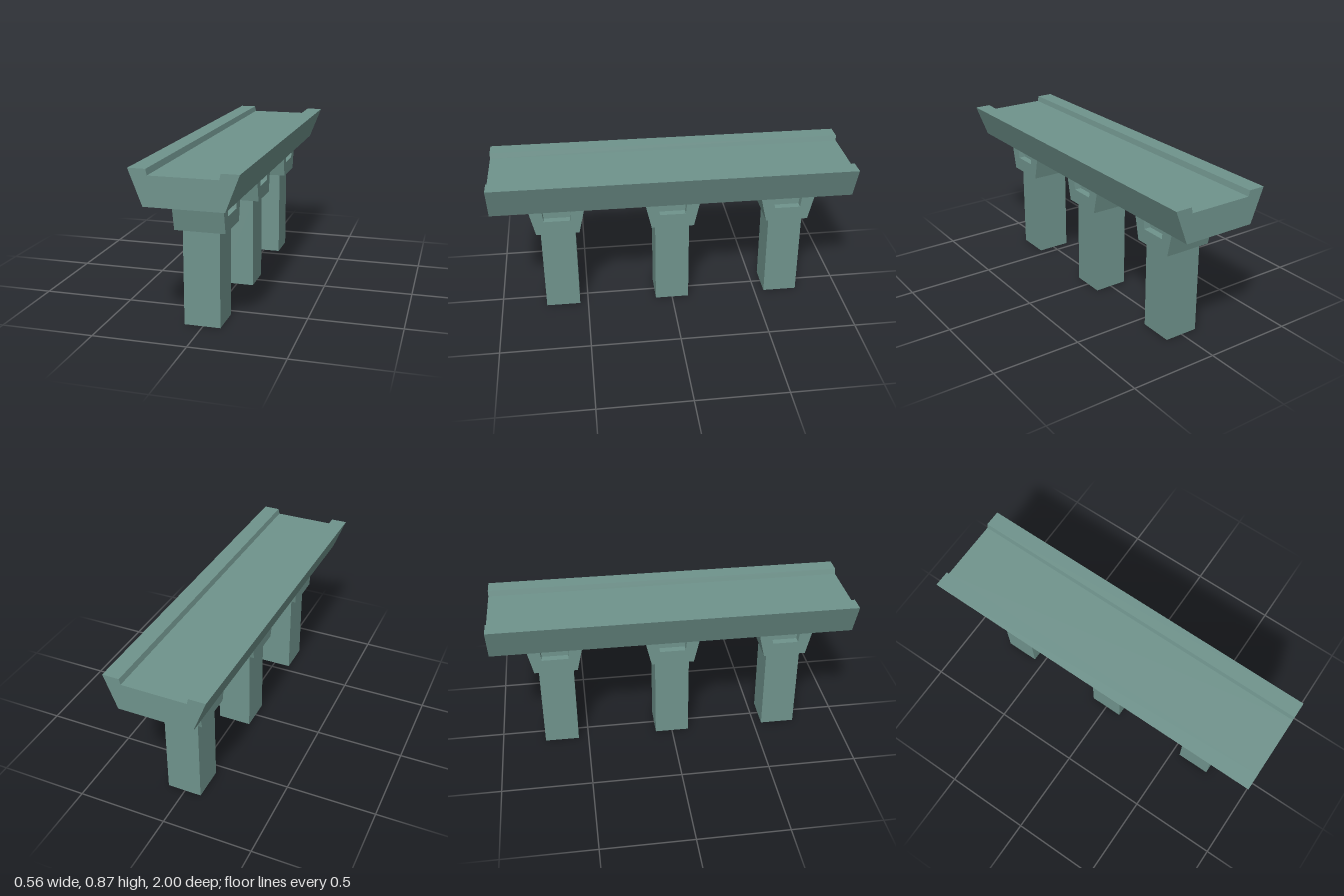
import * as THREE from 'three';

const material = new THREE.MeshStandardMaterial({ color: 0x6f938c, flatShading: true });

// Extrude a closed outline, centred on its depth
function extrude(points, depth) {
  const shape = new THREE.Shape(points.map(([x, y]) => new THREE.Vector2(x, y)));
  const geometry = new THREE.ExtrudeGeometry(shape, { depth, bevelEnabled: false });
  return geometry.translate(0, 0, -depth / 2);
}

function addMesh(parent, name, geometry, x = 0, y = 0, z = 0) {
  const mesh = new THREE.Mesh(geometry, material);
  mesh.name = name;
  mesh.position.set(x, y, z);
  parent.add(mesh);
  return mesh;
}

export function createModel() {
  const model = new THREE.Group();
  model.name = 'bridge';

  const capBottom = 0.513, deckBottom = 0.69, floor = 0.843, top = 0.874;

  // Deck: flared trough with a raised kerb along each edge
  addMesh(model, 'deck', extrude([
    [-0.203, deckBottom], [0.203, deckBottom], [0.274, top], [0.183, top],
    [0.176, floor], [-0.176, floor], [-0.183, top], [-0.274, top],
  ], 1.998));

  // Pier parts, shared by all piers
  const capHalf = 0.134, pocketDepth = 0.04, pocketFloor = 0.592;
  const column = new THREE.BoxGeometry(0.194, capBottom, 0.194);
  const core = extrude([
    [-0.12, capBottom], [0.12, capBottom], [0.16, deckBottom], [-0.16, deckBottom],
  ], 2 * (capHalf - pocketDepth)).rotateY(Math.PI / 2);
  // Cheek: the same outline with a pocket open to the deck
  const cheek = extrude([
    [-0.12, capBottom], [0.12, capBottom], [0.16, deckBottom], [0.084, deckBottom],
    [0.073, pocketFloor], [-0.073, pocketFloor], [-0.084, deckBottom], [-0.16, deckBottom],
  ], pocketDepth).rotateY(Math.PI / 2);

  for (const z of [0.644, 0, -0.654]) {
    const pier = new THREE.Group();
    pier.name = 'pier';
    pier.position.z = z;
    addMesh(pier, 'column', column, 0, capBottom / 2, 0);
    addMesh(pier, 'capCore', core);
    for (const side of [1, -1]) {
      addMesh(pier, 'capCheek', cheek, side * (capHalf - pocketDepth / 2), 0, 0);
    }
    model.add(pier);
  }

  // The span sits very slightly askew
  model.rotation.y = -0.004;
  return model;
}
